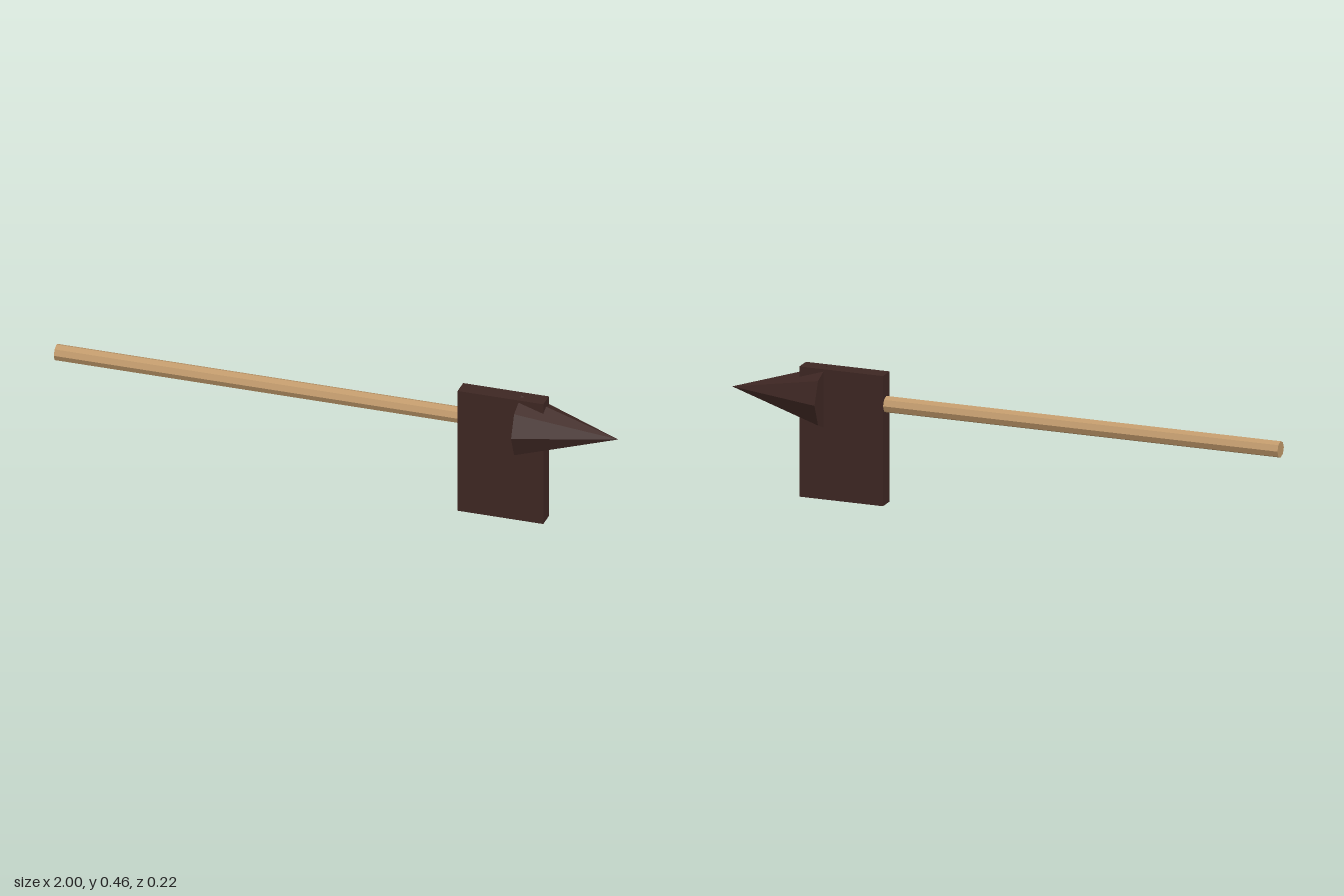
import * as THREE from 'three';

export function createModel() {
  const group = new THREE.Group();
  const wood = new THREE.MeshStandardMaterial({ color: 0xc19a6b, flatShading: true });
  const iron = new THREE.MeshStandardMaterial({ color: 0x3e2723, flatShading: true });
  const axisY = 0.352;

  const add = (name, geometry, material, x, y) => {
    const mesh = new THREE.Mesh(geometry, material);
    mesh.name = name;
    mesh.position.set(x, y, 0);
    group.add(mesh);
    return mesh;
  };

  // Octagonal shaft lying along x, its end buried in the blade
  const shaft = add('shaft', new THREE.CylinderGeometry(0.029, 0.029, 1.6, 8), wood, -0.2, axisY);
  shaft.rotation.z = -Math.PI / 2;

  // Rectangular blade hanging below the shaft
  add('blade', new THREE.BoxGeometry(0.305, 0.459, 0.06), iron, 0.5905, 0.2295);

  // Eight-sided spike pointing to +x
  const spike = add('spike', new THREE.ConeGeometry(0.111, 0.345, 8), iron, 0.8275, axisY);
  spike.rotation.z = -Math.PI / 2;

  return group;
}
